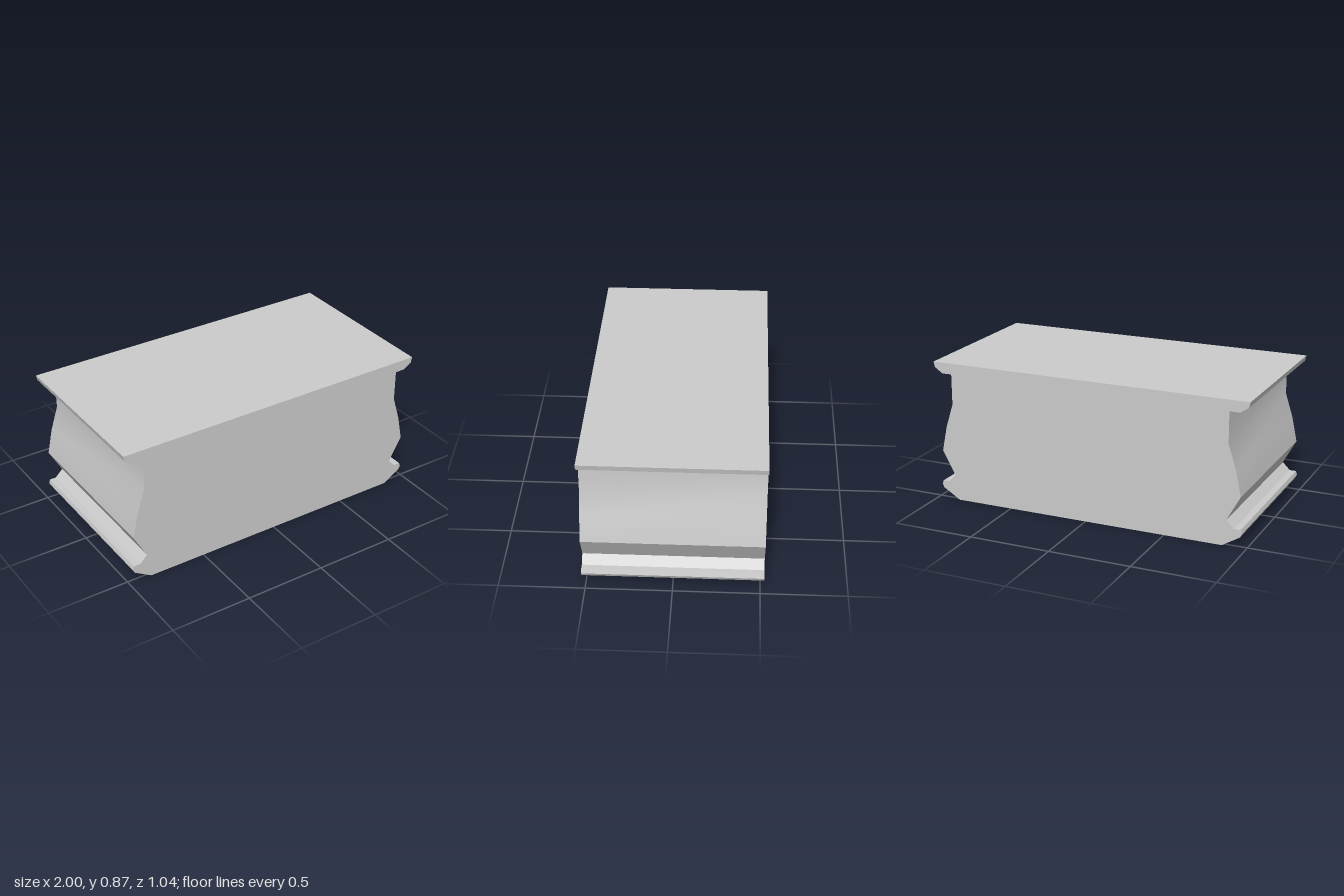
import * as THREE from 'three';
import { toCreasedNormals } from 'three/addons/utils/BufferGeometryUtils.js';

const DEPTH = 1.044;

// Half of the moulded cross-section, from the foot up to the top lip
const PROFILE = [
  [0.855, 0], [0.962, 0.065],                                // chamfered foot
  [0.973, 0.087], [0.965, 0.111], [0.925, 0.111],            // lower bead
  [0.878, 0.157], [0.96, 0.307],                             // groove and belly
  [0.928, 0.46], [0.88, 0.61], [0.88, 0.798],                // curved flank and neck
  [0.942, 0.798], [0.992, 0.832], [1, 0.865],                // top lip
];

export function createModel() {
  const group = new THREE.Group();
  group.name = 'mouldedBlock';

  // Mirror the profile to close the outline
  const right = PROFILE.map(([x, y]) => new THREE.Vector2(x, y));
  const left = PROFILE.map(([x, y]) => new THREE.Vector2(-x, y)).reverse();
  const shape = new THREE.Shape([...right, ...left]);

  // Straight extrusion, smooth along the gentle flank and sharp elsewhere
  const geometry = new THREE.ExtrudeGeometry(shape, { depth: DEPTH, bevelEnabled: false });
  geometry.translate(0, 0, -DEPTH / 2);

  const body = new THREE.Mesh(
    toCreasedNormals(geometry, 0.48),
    new THREE.MeshStandardMaterial({ color: 0xcccccc }),
  );
  body.name = 'body';
  group.add(body);
  return group;
}
